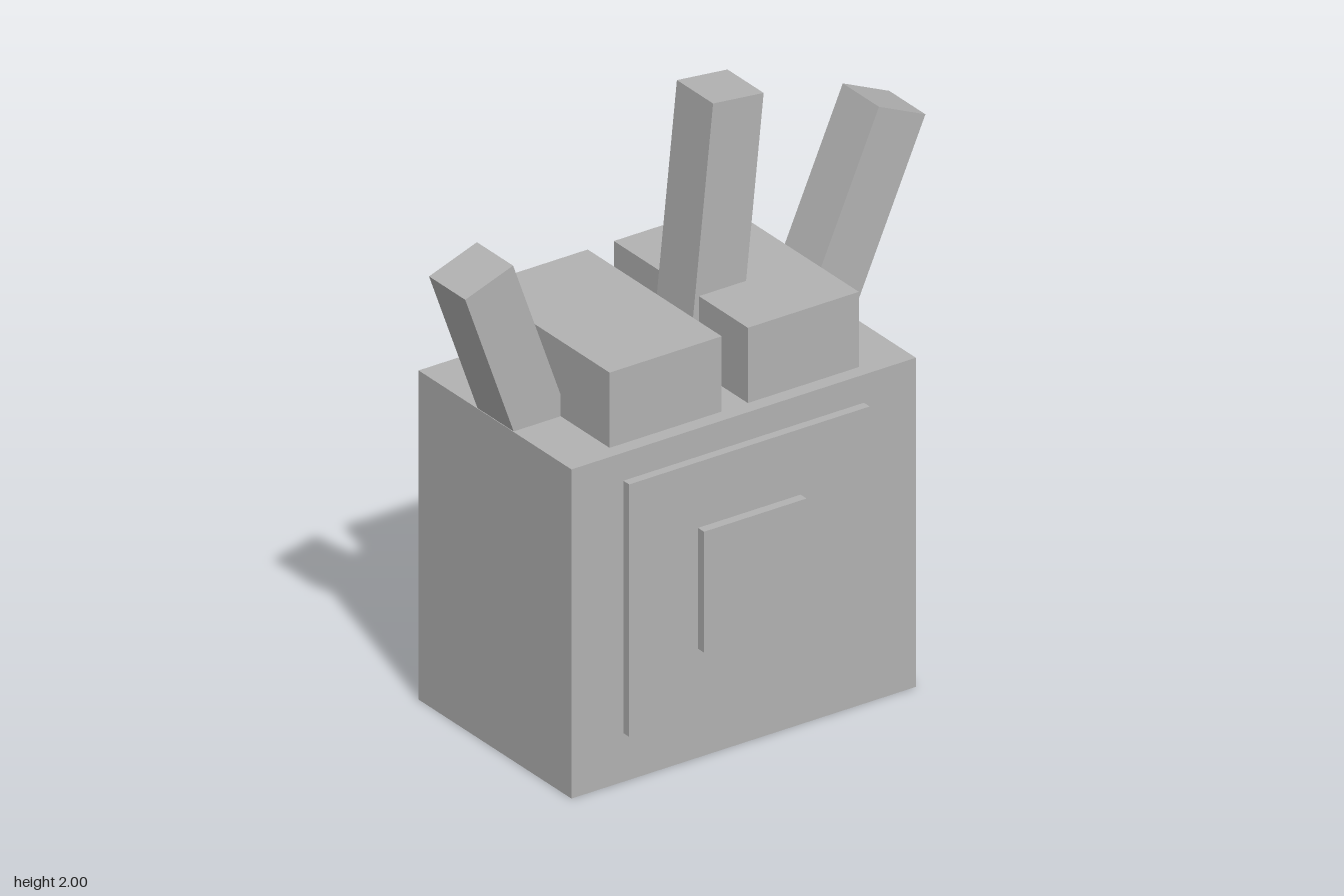
import * as THREE from 'three';

export function createModel() {
  const model = new THREE.Group();
  const grey = new THREE.MeshStandardMaterial({ color: 0xb2b2b2 });
  grey.name = 'plain grey';

  // Box given by its extents
  function addBox(name, x0, x1, y0, y1, z0, z1) {
    const mesh = new THREE.Mesh(new THREE.BoxGeometry(x1 - x0, y1 - y0, z1 - z0), grey);
    mesh.position.set((x0 + x1) / 2, (y0 + y1) / 2, (z0 + z1) / 2);
    mesh.name = name;
    model.add(mesh);
  }

  // Square bar hanging from its top centre, leaning towards +x by the given degrees
  function addBar(name, x, y, lean, length) {
    const geometry = new THREE.BoxGeometry(0.187, length, 0.188).translate(0, -length / 2, 0);
    const mesh = new THREE.Mesh(geometry, grey);
    mesh.position.set(x, y, 0);
    mesh.rotation.z = -THREE.MathUtils.degToRad(lean);
    mesh.name = name;
    model.add(mesh);
  }

  addBox('body', -0.672, 0.594, 0, 1.111, -0.397, 0.397);

  // Stepped square panels, showing on both front and back
  addBox('outerPanel', -0.481, 0.403, 0.164, 1.016, -0.427, 0.427);
  addBox('innerPanel', -0.228, 0.149, 0.386, 0.794, -0.458, 0.458);

  // Two blocks on the top
  addBox('rightTopBlock', -0.497, -0.085, 1.1, 1.365, -0.348, 0.348);
  addBox('leftTopBlock', 0.011, 0.419, 1.1, 1.365, -0.348, 0.348);

  // Leaning bars, sunk into the body
  addBar('rightBar', -0.76, 1.64, -19.7, 0.65);
  addBar('middleBar', 0.156, 1.99, 6, 0.95);
  addBar('leftBar', 0.758, 1.769, 24, 0.8);

  return model;
}
